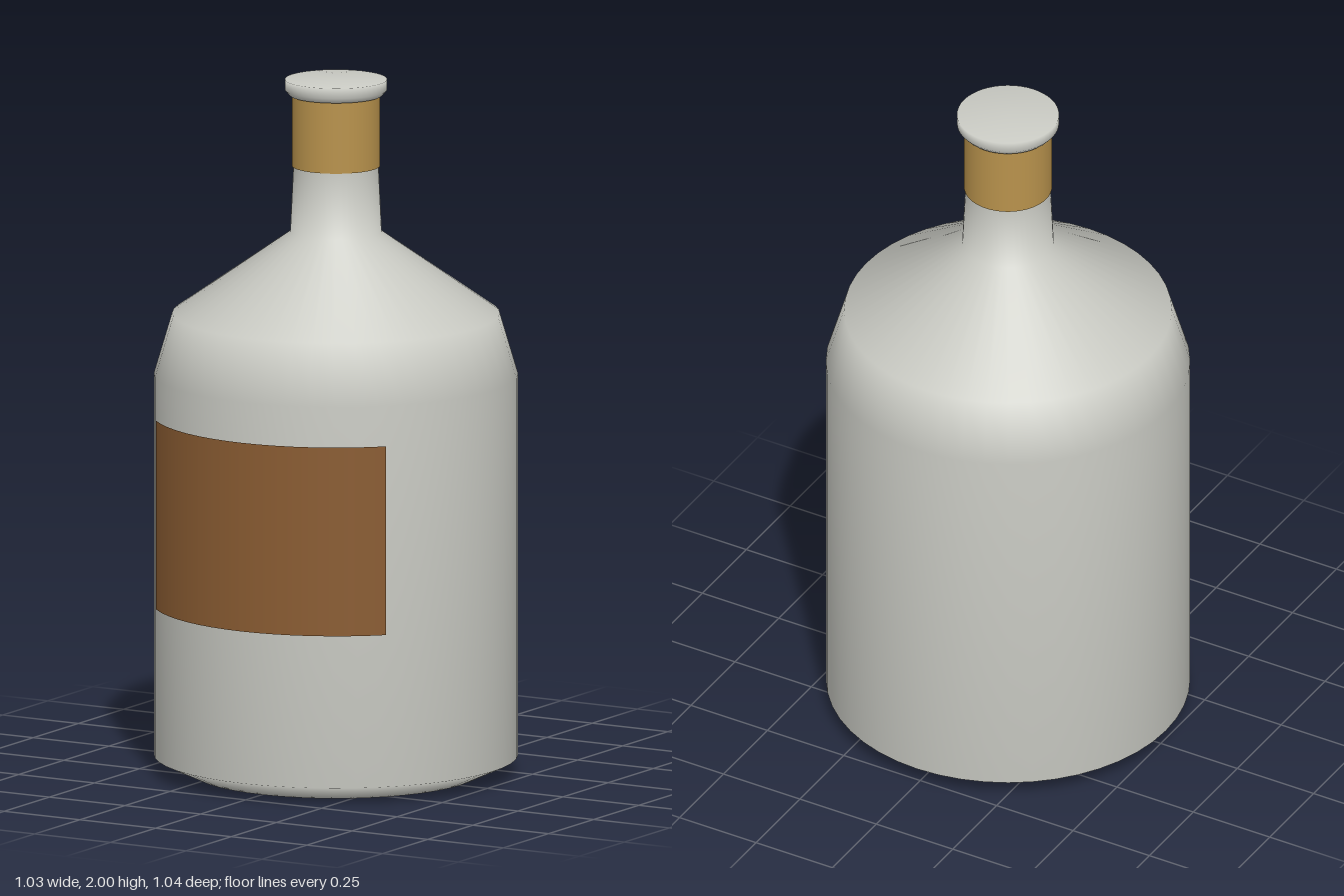
import * as THREE from 'three';

const SEGMENTS = 48;

const material = (name, color, side = THREE.FrontSide) => {
  const m = new THREE.MeshStandardMaterial({ color, side });
  m.name = name;
  return m;
};

// Revolve a profile of [radius, height] pairs, listed from bottom to top.
function turned(name, profile, mat, segments = SEGMENTS, start = 0, sweep = Math.PI * 2) {
  const points = profile.map(([r, y]) => new THREE.Vector2(r, y));
  const mesh = new THREE.Mesh(new THREE.LatheGeometry(points, segments, start, sweep), mat);
  mesh.name = name;
  return mesh;
}

export function createModel() {
  const glass = material('pale grey glass', 0xcacbc4);
  const foil = material('golden foil', 0xb8924c);
  const paper = material('brown paper', 0x8a5c32, THREE.DoubleSide);

  const bottle = new THREE.Group();
  bottle.name = 'bottle';

  // Body with chamfered base, sloping shoulders and narrow neck
  bottle.add(turned('body', [
    [0, 0], [0.41, 0], [0.517, 0.05], [0.517, 1.15],
    [0.465, 1.325], [0.13, 1.56], [0.121, 1.75], [0.119, 1.955],
  ], glass));

  // Foil sleeve round the upper neck
  bottle.add(turned('neckFoil', [[0.125, 1.75], [0.125, 1.957]], foil));

  // Flared lip closed by a flat top
  bottle.add(turned('lip', [
    [0.115, 1.953], [0.132, 1.955], [0.145, 1.97], [0.145, 2], [0, 2],
  ], glass));

  // Curved label on the front
  const half = 0.813;
  bottle.add(turned('label', [[0.523, 0.49], [0.523, 1.035]], paper, 16, -half, half * 2));

  return bottle;
}
